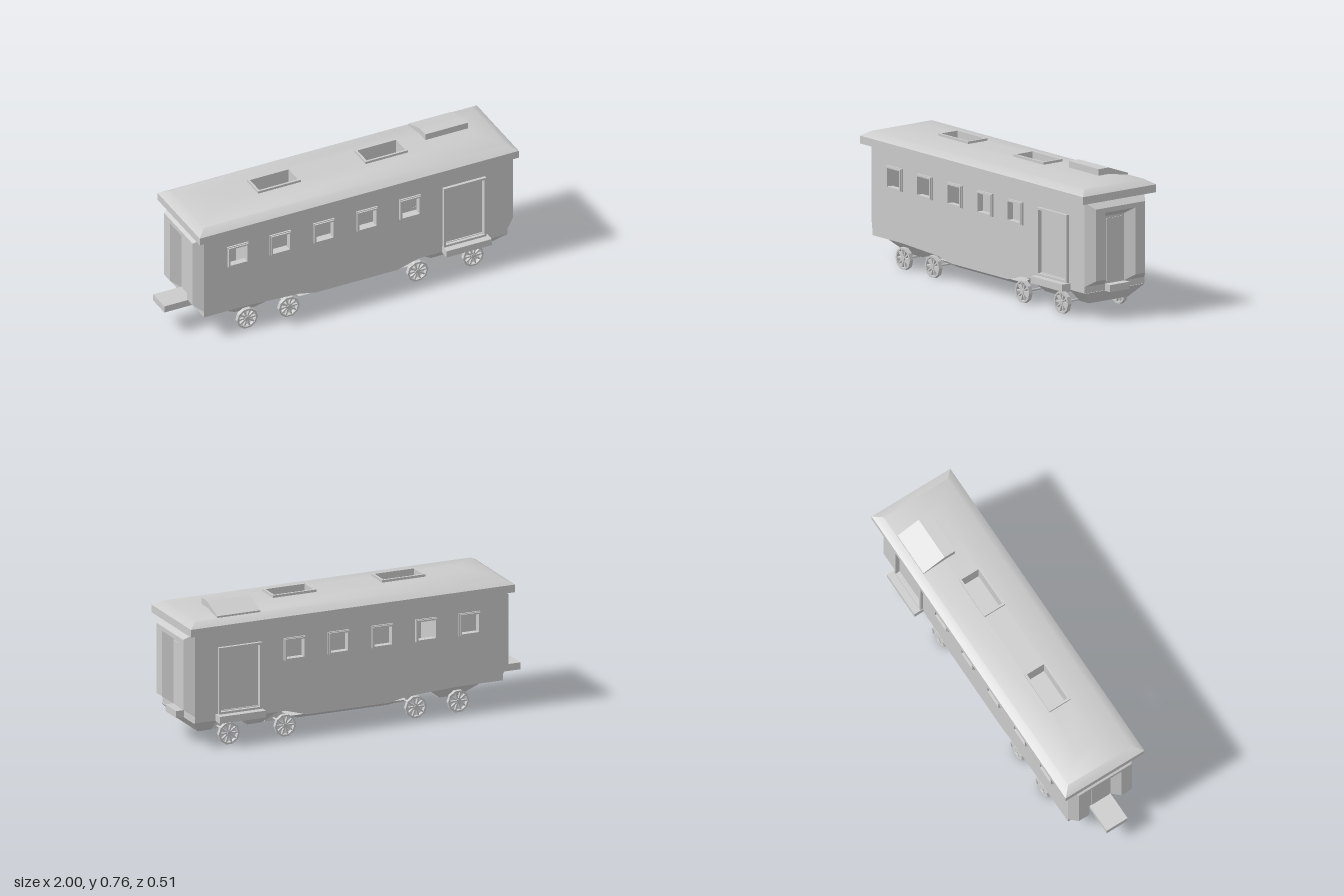
import * as THREE from 'three';
import { toCreasedNormals } from 'three/addons/utils/BufferGeometryUtils.js';

const grey = new THREE.MeshStandardMaterial({ color: 0xcccccc, side: THREE.DoubleSide });

function add(parent, name, geo, x = 0, y = 0, z = 0) {
  const mesh = new THREE.Mesh(geo, grey);
  mesh.name = name;
  mesh.position.set(x, y, z);
  parent.add(mesh);
  return mesh;
}

// Box given by its limits on each axis
function block(parent, name, [x0, x1], [y0, y1], [z0, z1]) {
  return add(parent, name, new THREE.BoxGeometry(x1 - x0, y1 - y0, z1 - z0),
    (x0 + x1) / 2, (y0 + y1) / 2, (z0 + z1) / 2);
}

const rect = (x0, x1, y0, y1) => [[x0, y0], [x1, y0], [x1, y1], [x0, y1]];
const vectors = (pts) => pts.map(([x, y]) => new THREE.Vector2(x, y));

// Joins counter-clockwise loops [height, points] along z; caps may have holes
function loft(levels, holes = [], crease = 0.2) {
  const pos = [];
  const n = levels[0][1].length;
  const put = (...pts) => pts.forEach((p) => pos.push(...p));
  for (let k = 0; k + 1 < levels.length; k++) {
    const [t0, a] = levels[k], [t1, b] = levels[k + 1];
    for (let i = 0; i < n; i++) {
      const j = (i + 1) % n;
      const A = [...a[i], t0], B = [...a[j], t0], C = [...b[j], t1], D = [...b[i], t1];
      put(A, B, C, A, C, D);
    }
  }
  [levels[0], levels[levels.length - 1]].forEach(([t, loop], end) => {
    const all = [...loop, ...holes.flat()].map((p) => [...p, t]);
    for (const f of THREE.ShapeUtils.triangulateShape(vectors(loop), holes.map(vectors))) {
      const [i, j, k] = end ? f : [f[0], f[2], f[1]];
      put(all[i], all[j], all[k]);
    }
  });
  const geo = new THREE.BufferGeometry();
  geo.setAttribute('position', new THREE.Float32BufferAttribute(pos, 3));
  geo.computeVertexNormals();
  return toCreasedNormals(geo, crease);
}

function plate(outline, holes, depth) {
  const shape = new THREE.Shape(vectors(outline));
  shape.holes = holes.map((h) => new THREE.Path(vectors(h)));
  return new THREE.ExtrudeGeometry(shape, { depth, bevelEnabled: false });
}

const frame = (x0, x1, y0, y1, border, depth) =>
  plate(rect(x0, x1, y0, y1), [rect(x0 + border, x1 - border, y0 + border, y1 - border)], depth);

const polygon = (r, n) => Array.from({ length: n }, (_, i) =>
  [r * Math.cos(i / n * 2 * Math.PI), r * Math.sin(i / n * 2 * Math.PI)]);

const windowXs = [-0.64, -0.39, -0.135, 0.117, 0.37];
const skylightXs = [[-0.45, -0.2], [0.18, 0.43]];

function buildSide() {
  const side = new THREE.Group();
  const skirt = [[-0.835, 0.14], [-0.58, 0.14], [-0.28, 0.125], [-0.18, 0.104], [0.3, 0.104],
    [0.42, 0.14], [0.945, 0.14], [0.945, 0.632], [-0.835, 0.632]];
  const openings = windowXs.map((x) => rect(x - 0.05, x + 0.05, 0.428, 0.53));
  openings.push(rect(0.575, 0.8, 0.19, 0.53));
  add(side, 'sideWall', plate(skirt, openings, 0.02), 0, 0, 0.18);
  for (const x of windowXs) {
    add(side, 'windowFrame', frame(x - 0.062, x + 0.062, 0.417, 0.54, 0.007, 0.009), 0, 0, 0.2);
    add(side, 'windowFrameLip', frame(x - 0.058, x + 0.058, 0.421, 0.536, 0.008, 0.017), 0, 0, 0.2);
  }
  add(side, 'doorFrame', frame(0.563, 0.812, 0.175, 0.54, 0.012, 0.017), 0, 0, 0.2);
  block(side, 'sideDoor', [0.57, 0.805], [0.18, 0.535], [0.182, 0.192]);
  block(side, 'doorStep', [0.56, 0.825], [0.137, 0.175], [0.19, 0.255]);
  return side;
}

// Bevelled arch around the end doorway
function buildEnd() {
  const end = new THREE.Group();
  const arch = (w, bottom, top, door, doorTop) => [[-w, bottom], [-door, bottom], [-door, doorTop],
    [door, doorTop], [door, bottom], [w, bottom], [w, top], [-w, top]];
  add(end, 'endArch', loft([[0, arch(0.2, 0.175, 0.63, 0.065, 0.537)],
    [0.05, arch(0.165, 0.21, 0.595, 0.1, 0.57)]]));
  block(end, 'endWall', [-0.2, 0.2], [0.14, 0.632], [-0.02, 0]);
  block(end, 'endDoor', [-0.054, 0.054], [0.187, 0.525], [0, 0.004]);
  return end;
}

function buildWheel() {
  const wheel = new THREE.Group();
  add(wheel, 'wheelRim', plate(polygon(0.061, 10), [polygon(0.051, 10)], 0.022), 0, 0, -0.011);
  const hub = add(wheel, 'wheelHub', new THREE.CylinderGeometry(0.013, 0.013, 0.022, 10));
  hub.rotation.x = Math.PI / 2;
  for (let i = 0; i < 10; i++) {
    const spoke = add(wheel, 'spoke', new THREE.BoxGeometry(0.046, 0.008, 0.014));
    const a = i * Math.PI / 5;
    spoke.position.set(0.031 * Math.cos(a), 0.031 * Math.sin(a), 0);
    spoke.rotation.z = a;
  }
  return wheel;
}

export function createModel() {
  const model = new THREE.Group();
  model.name = 'railwayCarriage';

  // Walls and ends
  for (const [name, turn] of [['frontSide', 0], ['backSide', Math.PI]]) {
    const side = buildSide();
    side.name = name;
    if (turn) side.scale.z = -1;
    model.add(side);
  }
  for (const [name, x, turn] of [['leftEnd', 0.945, 1], ['rightEnd', -0.835, -1]]) {
    const end = buildEnd();
    end.name = name;
    end.position.x = x;
    end.rotation.y = turn * Math.PI / 2;
    model.add(end);
  }

  // Floor, end platforms and interior
  block(model, 'floor', [-0.835, 0.945], [0.14, 0.172], [-0.199, 0.199]);
  block(model, 'leftPlatform', [0.9, 0.99], [0.137, 0.175], [-0.065, 0.065]);
  block(model, 'rightPlatform', [-1, -0.82], [0.14, 0.178], [-0.065, 0.065]);
  block(model, 'crossPartition', [-0.55, -0.54], [0.172, 0.63], [-0.18, 0.18]);
  block(model, 'compartmentWall', [-0.83, -0.55], [0.172, 0.63], [-0.005, 0.005]);

  // Hipped roof with skylight openings
  const ring = (inX, z) => rect(-0.883 + inX, 0.988 - inX, -z, z);
  const wells = skylightXs.map(([a, b]) => rect(a + 0.012, b - 0.012, -0.053, 0.053));
  const roof = add(model, 'roof', loft([[0.63, ring(0, 0.245)], [0.672, ring(0, 0.245)],
    [0.7, ring(0.047, 0.2)], [0.722, ring(0.17, 0.066)]], wells, 0.6));
  roof.rotation.x = -Math.PI / 2;
  for (const [a, b] of skylightXs) {
    const rim = add(model, 'skylightFrame', frame(a, b, -0.065, 0.065, 0.012, 0.105), 0, 0.63, 0);
    rim.rotation.x = -Math.PI / 2;
  }

  // Wedge-shaped roof hatch on the back slope
  const hatch = add(model, 'roofHatch',
    plate([[0, 0.7], [0.197, 0.69], [0.197, 0.71], [0.065, 0.757], [0, 0.757]], [], 0.25), 0.813, 0, 0);
  hatch.rotation.y = Math.PI / 2;
  hatch.scale.z = -1;
  hatch.scale.x = 1;

  // Tapered underframe sections: top x range, bottom x range, top y
  const sections = [[-0.7, -0.44, -0.62, -0.5, 0.14], [-0.28, 0.4, -0.2, 0.32, 0.108],
    [0.46, 0.68, 0.53, 0.61, 0.14], [0.815, 0.95, 0.818, 0.895, 0.14]];
  for (const [a, b, c, d, top] of sections) {
    const hull = add(model, 'underframe',
      loft([[0.07, rect(c, d, -0.13, 0.13)], [top, rect(a, b, -0.199, 0.199)]]));
    hull.rotation.x = -Math.PI / 2;
  }

  // Wheelsets
  for (const x of [-0.58, -0.335, 0.42, 0.745]) {
    const set = new THREE.Group();
    set.name = 'wheelset';
    set.position.set(x, 0.058, 0);
    model.add(set);
    add(set, 'axle', new THREE.CylinderGeometry(0.006, 0.006, 0.38, 8)).rotation.x = Math.PI / 2;
    block(set, 'axleBlock', [-0.05, 0.05], [-0.013, 0.085], [-0.05, 0.05]);
    for (const s of [-1, 1]) {
      const wheel = buildWheel();
      wheel.name = 'wheel';
      wheel.position.z = s * 0.189;
      set.add(wheel);
    }
  }
  return model;
}
